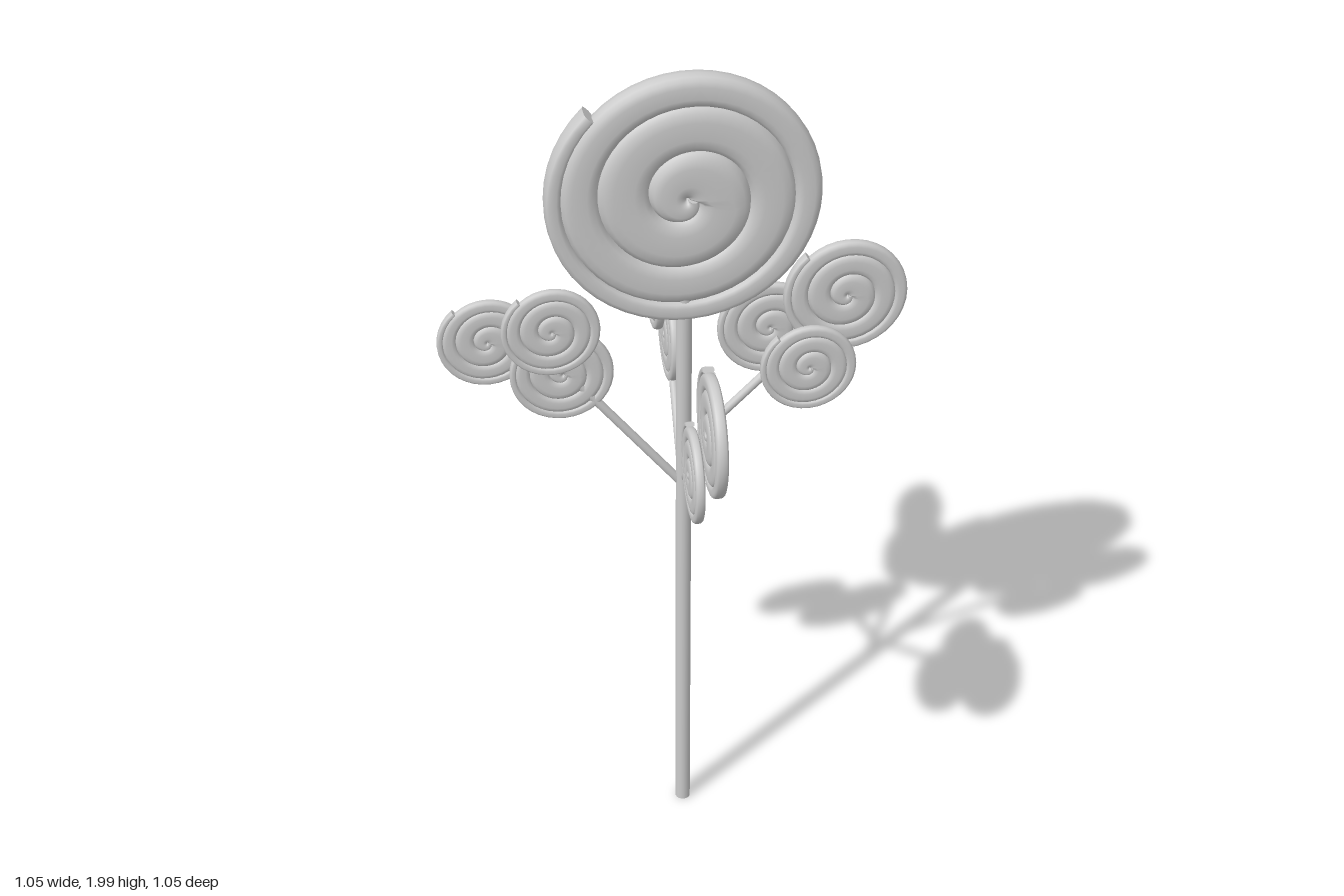
import * as THREE from 'three';

const material = new THREE.MeshStandardMaterial({ color: 0xcccccc });
const TURNS = 3.6;

// Outer edge of the coiled band (unit radius) after t turns from the centre
const edge = t => 0.08 + 0.95 * Math.sin((Math.PI / 2) * (t / TURNS));

// A puffy band coiled into a disc of radius 1, its cut end at endAngle
function swirlGeometry(endAngle, steps, sides = 14) {
  const pos = [], index = [];
  const soft = v => Math.sign(v) * Math.pow(Math.abs(v), 0.65);
  for (let i = 0; i <= steps; i++) {
    const t = TURNS * i / steps;
    const outer = edge(t);
    const inner = t > 1 ? edge(t - 1) - 0.015 : 0;
    const mid = (outer + inner) / 2, half = (outer - inner) / 2;
    const thick = 0.128 - 0.035 * mid;
    const angle = endAngle + (TURNS - t) * Math.PI * 2;
    for (let j = 0; j < sides; j++) {
      const a = (j / sides) * Math.PI * 2;
      const r = mid + half * soft(Math.cos(a));
      pos.push(r * Math.cos(angle), r * Math.sin(angle), thick * soft(Math.sin(a)));
    }
  }
  for (let i = 0; i < steps; i++) {
    for (let j = 0; j < sides; j++) {
      const k = (j + 1) % sides;
      const a = i * sides + j, b = i * sides + k;
      index.push(a, b, b + sides, a, b + sides, a + sides);
    }
  }
  // Flat caps on both ends of the band
  for (const [ring, flip] of [[0, true], [steps, false]]) {
    const base = pos.length / 3;
    const start = ring * sides * 3;
    pos.push(...pos.slice(start, start + sides * 3));
    for (let k = 1; k < sides - 1; k++) {
      if (flip) index.push(base, base + k + 1, base + k);
      else index.push(base, base + k, base + k + 1);
    }
  }
  const g = new THREE.BufferGeometry();
  g.setAttribute('position', new THREE.Float32BufferAttribute(pos, 3));
  g.setIndex(index);
  g.computeVertexNormals();
  return g;
}

function addMesh(group, name, geometry) {
  const mesh = new THREE.Mesh(geometry, material);
  mesh.name = name;
  group.add(mesh);
  return mesh;
}

// Straight round stick between two points
function addStick(group, name, from, to, radius) {
  const a = new THREE.Vector3(...from), b = new THREE.Vector3(...to);
  const dir = b.clone().sub(a);
  const mesh = addMesh(group, name, new THREE.CylinderGeometry(radius, radius, dir.length(), 16));
  mesh.position.copy(a).add(b).multiplyScalar(0.5);
  mesh.quaternion.setFromUnitVectors(new THREE.Vector3(0, 1, 0), dir.normalize());
}

export function createModel() {
  const model = new THREE.Group();
  const addSwirl = (name, geometry, [x, y, z, r], turn = 0) => {
    const mesh = addMesh(model, name, geometry);
    mesh.position.set(x, y, z);
    mesh.scale.setScalar(r);
    mesh.rotation.y = turn;
  };

  // Trunk and the large crown swirl
  addStick(model, 'trunk', [0.016, 0, 0.008], [0.016, 1.47, 0.008], 0.018);
  addSwirl('crownSwirl', swirlGeometry(2.36, 180), [0.02, 1.705, 0.004, 0.298]);

  // Branches to the four sides
  const branches = [
    ['rightBranch', [0.01, 0.96, 0.006], [-0.23, 1.26, 0.004]],
    ['leftBranch', [0.016, 1.05, 0.006], [0.25, 1.285, 0.006]],
    ['frontBranch', [0.018, 0.97, 0.008], [0.018, 1.2, 0.24]],
    ['backBranch', [0.02, 0.88, 0], [0.022, 1.18, -0.23]],
  ];
  for (const [name, from, to] of branches) addStick(model, name, from, to, 0.01);

  // Small swirls facing the front: x, y, z, radius
  const sideGeometry = swirlGeometry(2.3, 130);
  const sideSwirls = [
    [0.38, 1.43, 0.006, 0.138], [0.215, 1.34, -0.028, 0.115], [0.295, 1.265, 0.035, 0.108],
    [-0.417, 1.36, -0.025, 0.108], [-0.28, 1.41, 0.035, 0.108], [-0.255, 1.28, 0.003, 0.115],
  ];
  for (const s of sideSwirls) addSwirl('sideSwirl', sideGeometry, s);

  // Small swirls turned across, in front of and behind the trunk
  const crossGeometry = swirlGeometry(2.05, 130);
  const crossSwirls = [
    [0.018, 1.345, 0.385, 0.137], [0.05, 1.25, 0.22, 0.115], [-0.008, 1.185, 0.297, 0.109],
    [-0.008, 1.325, -0.28, 0.109], [0.05, 1.28, -0.413, 0.109], [0.022, 1.205, -0.252, 0.116],
  ];
  for (const s of crossSwirls) addSwirl('crossSwirl', crossGeometry, s, -Math.PI / 2);

  return model;
}
